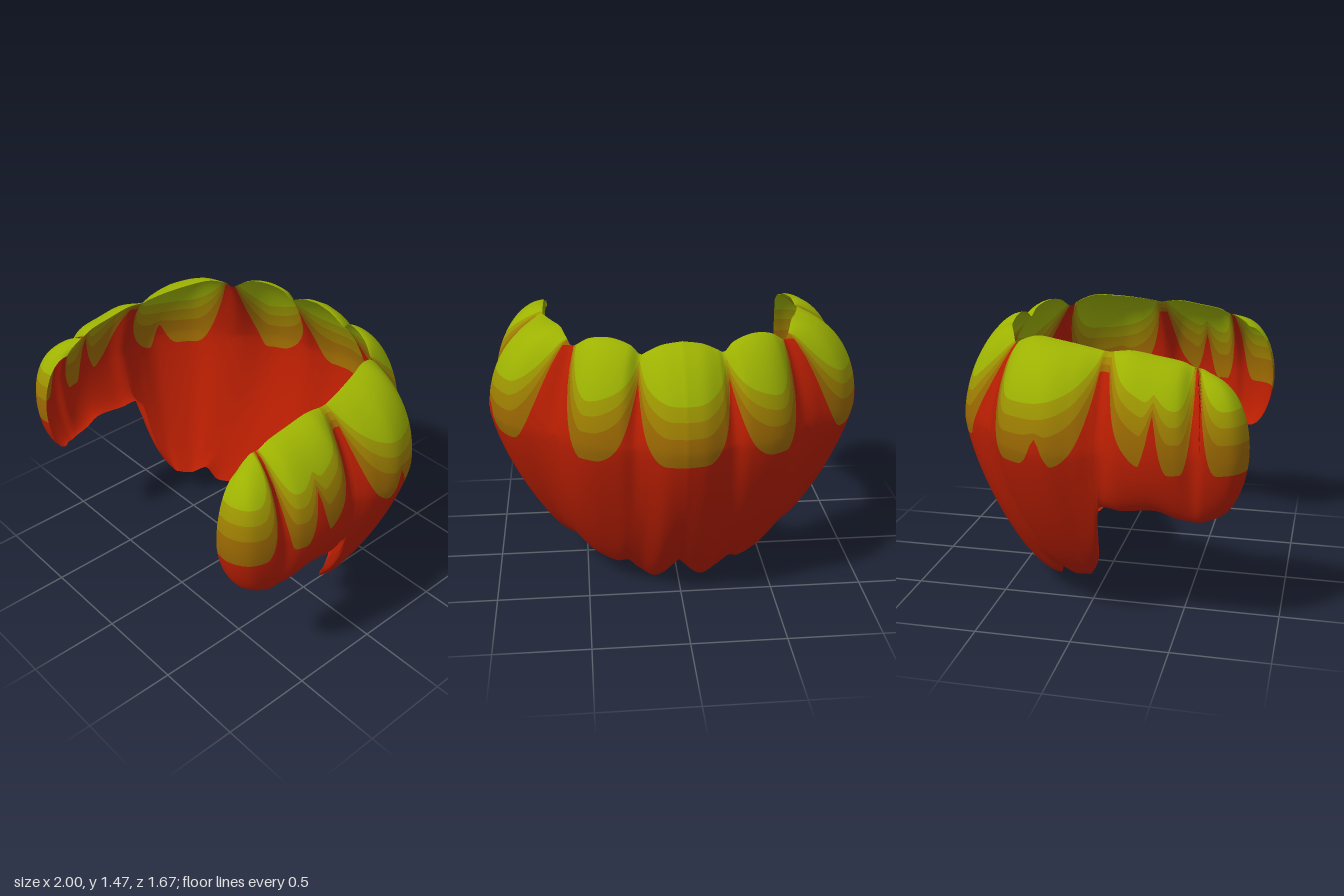
import * as THREE from 'three';

// Half of the collar, from the middle of the back round to the front end.
// Upper rim: x, y, z of each column
const RIM = [
  [0, 1.455, -0.53], [0.1, 1.44, -0.53], [0.17, 1.41, -0.53], [0.21, 1.395, -0.53],
  [0.26, 1.44, -0.51], [0.36, 1.465, -0.465], [0.46, 1.45, -0.425], [0.54, 1.4, -0.385],
  [0.57, 1.43, -0.34], [0.6, 1.46, -0.25], [0.64, 1.455, -0.14], [0.68, 1.44, 0],
  [0.7, 1.425, 0.1], [0.7, 1.42, 0.13], [0.7, 1.42, 0.15], [0.7, 1.43, 0.25],
  [0.7, 1.41, 0.38], [0.7, 1.39, 0.49], [0.7, 1.365, 0.55], [0.69, 1.355, 0.59],
  [0.69, 1.34, 0.62], [0.69, 1.32, 0.65], [0.69, 1.29, 0.68],
];
// Widest line: x, roundness of the shoulder above it, z (low roundness makes a crease)
const BELLY = [
  [0, 1.6, -0.835], [0.1, 1.6, -0.815], [0.19, 1.5, -0.765], [0.25, 1.28, -0.735],
  [0.33, 1.6, -0.74], [0.45, 1.7, -0.71], [0.54, 1.6, -0.65], [0.64, 1.22, -0.53],
  [0.74, 1.6, -0.455], [0.9, 1.95, -0.35], [0.995, 2, -0.15], [0.98, 1.8, 0],
  [0.95, 1.5, 0.09], [0.94, 1.42, 0.125], [0.945, 1.5, 0.16], [0.98, 1.9, 0.23],
  [0.985, 1.9, 0.38], [0.965, 1.9, 0.5], [0.93, 1.5, 0.58], [0.94, 2, 0.65],
  [0.9, 2.2, 0.77], [0.81, 2, 0.83], [0.72, 1.9, 0.83],
];
// Lower hem: x, y, z
const HEM = [
  [0, 0.13, -0.37], [0.12, 0, -0.31], [0.22, 0.05, -0.3], [0.28, 0.12, -0.33],
  [0.34, 0.1, -0.3], [0.42, 0.11, -0.24], [0.48, 0.13, -0.18], [0.54, 0.2, -0.15],
  [0.57, 0.19, -0.1], [0.59, 0.18, -0.06], [0.62, 0.2, 0], [0.65, 0.22, 0.03],
  [0.71, 0.33, 0.08], [0.78, 0.5, 0.095], [0.85, 0.665, 0.11], [0.87, 0.67, 0.24],
  [0.87, 0.685, 0.4], [0.86, 0.65, 0.5], [0.85, 0.635, 0.58], [0.84, 0.63, 0.62],
  [0.82, 0.64, 0.66], [0.8, 0.645, 0.68], [0.79, 0.65, 0.69],
];
const BELLY_Y = 0.97;
const LAST = RIM.length - 1;
const STEPS = 10; // columns drawn between two key columns

// Red points rising between the lobes: column, height, half width, flat half width
const PEAKS = [
  [3, 1.28, 2, 0], [7.35, 1.4, 1.05, 0.45], [9.9, 1.04, 0.45, 0.05],
  [13.2, 1.34, 2.2, 0.9], [16.1, 1.18, 0.6, 0.03], [18.35, 1.37, 0.95, 0.12],
];
// Lower limit of each colour band at the middle of a lobe, from red's top up to green
const LIMITS = [0.9, 1.05, 1.13, 1.2];

const smoothCurve = rows => new THREE.CatmullRomCurve3(
  rows.map(r => new THREE.Vector3(...r)), false, 'catmullrom', 0.5);
const rim = smoothCurve(RIM), belly = smoothCurve(BELLY), hem = smoothCurve(HEM);

function column(u) {
  const a = Math.min(Math.abs(u), LAST), t = a / LAST;
  const b = belly.getPoint(t);
  return {
    side: u < 0 ? -1 : 1, top: rim.getPoint(t), mid: b, low: hem.getPoint(t),
    p: THREE.MathUtils.clamp(b.y, 1.15, 2.2),
    // fuller below a crease, so the creases fade out in the skirt
    q: 1.4 + 0.3 * (1.7 - b.y) + 0.5 * THREE.MathUtils.smoothstep(a, 11, 15),
  };
}

// Point of the sheet: v = 0 at the rim, 1 at the widest line, 2 at the hem
function surface(c, v) {
  const upper = v <= 1;
  const angle = (upper ? v : 2 - v) * Math.PI / 2;
  const end = upper ? c.top : c.low, e = 2 / (upper ? c.p : c.q);
  const out = Math.pow(Math.max(0, Math.sin(angle)), e);
  const rise = Math.pow(Math.max(0, Math.cos(angle)), e);
  return new THREE.Vector3(
    c.side * (end.x + (c.mid.x - end.x) * out),
    BELLY_Y + (end.y - BELLY_Y) * rise,
    end.z + (c.mid.z - end.z) * out);
}

// The v at which a column reaches height y
function vAtHeight(c, y) {
  const upper = y >= BELLY_Y;
  const end = upper ? c.top.y : c.low.y;
  const k = THREE.MathUtils.clamp((y - BELLY_Y) / (end - BELLY_Y), 0, 1);
  const v = Math.acos(Math.pow(k, (upper ? c.p : c.q) / 2)) / (Math.PI / 2);
  return upper ? v : 2 - v;
}

// Scalloped height of colour limit i at column u
function limitHeight(i, u) {
  let y = LIMITS[i];
  for (const [at, height, width, flat] of PEAKS) {
    const d = Math.max(0, Math.abs(Math.abs(u) - at) - flat);
    const f = Math.max(0, 1 - d / (width * (1 + 0.1 * i))) ** 2;
    y = Math.max(y, LIMITS[i] + Math.max(0, height + 0.03 * i - LIMITS[i]) * f);
  }
  return y;
}

// Strip of the sheet between two v limits, with normals shared across strips
function strip(from, to, rows) {
  const pos = [], nor = [], index = [], n = 2 * LAST * STEPS, eps = 0.02;
  for (let i = 0; i <= n; i++) {
    const u = -LAST + i / STEPS;
    const c = column(u);
    const before = column(Math.max(-LAST, u - 0.1)), after = column(Math.min(LAST, u + 0.1));
    const v0 = from(c, u), v1 = to(c, u);
    for (let j = 0; j <= rows; j++) {
      const v = v0 + (v1 - v0) * j / rows;
      const du = surface(after, v).sub(surface(before, v));
      const dv = surface(c, Math.min(2, v + eps)).sub(surface(c, Math.max(0, v - eps)));
      pos.push(...surface(c, v).toArray());
      nor.push(...du.cross(dv).normalize().toArray());
      if (i < n && j < rows) {
        const a = i * (rows + 1) + j, b = a + rows + 1;
        index.push(a, b, a + 1, b, b + 1, a + 1);
      }
    }
  }
  const g = new THREE.BufferGeometry();
  g.setAttribute('position', new THREE.Float32BufferAttribute(pos, 3));
  g.setAttribute('normal', new THREE.Float32BufferAttribute(nor, 3));
  g.setIndex(index);
  return g;
}

export function createModel() {
  const group = new THREE.Group();
  group.name = 'scallopedCollar';
  const limit = i => (c, u) => vAtHeight(c, limitHeight(i, u));
  const rimLimit = () => 0, hemLimit = () => 2;
  // Bands from the rim down to the hem
  const bands = [
    ['greenLobes', 0x9db202, rimLimit, limit(3), 12],
    ['oliveBand', 0x9d9602, limit(3), limit(2), 4],
    ['mustardBand', 0x9d7f02, limit(2), limit(1), 4],
    ['bronzeBand', 0x9a6802, limit(1), limit(0), 5],
    ['redSkirt', 0xb81e02, limit(0), hemLimit, 24],
  ];
  for (const [name, color, from, to, rows] of bands) {
    const material = new THREE.MeshStandardMaterial({ color, side: THREE.DoubleSide });
    material.name = name.replace(/[A-Z].*/, '');
    const mesh = new THREE.Mesh(strip(from, to, rows), material);
    mesh.name = name;
    group.add(mesh);
  }
  return group;
}
